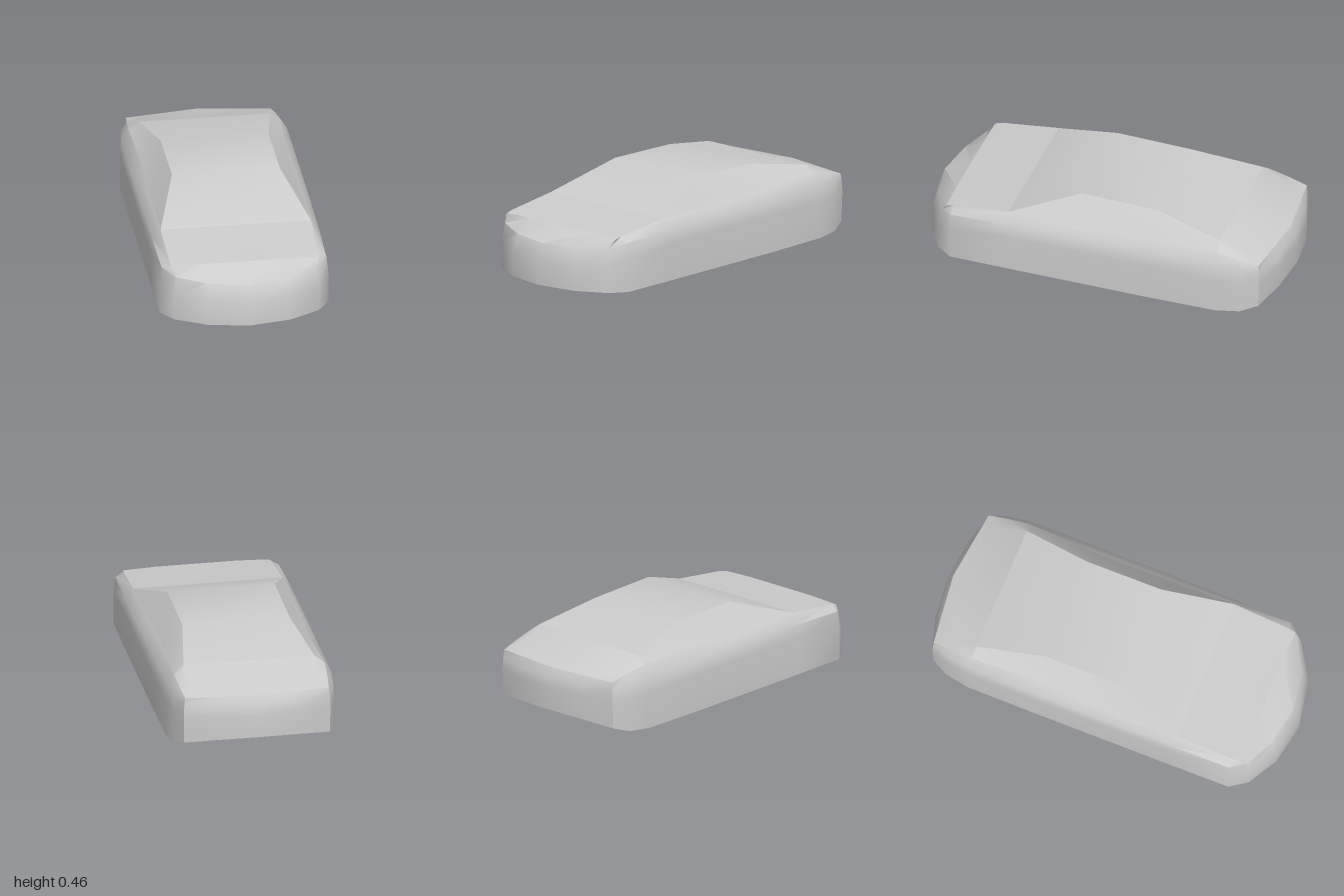
import * as THREE from 'three';
import { toCreasedNormals } from 'three/addons/utils/BufferGeometryUtils.js';

// Half of the plan, from nose centre around the left side to tail centre.
// Each column: sill, waist, shoulder and belt points [x, y, z].
const columns = [
  [[0, 0, 1], [0, 0.13, 1], [0, 0.22, 0.965], [0, 0.29, 0.82]],
  [[0.22, 0, 0.96], [0.22, 0.13, 0.96], [0.22, 0.225, 0.925], [0.22, 0.29, 0.82]],
  [[0.385, 0, 0.87], [0.385, 0.14, 0.87], [0.375, 0.24, 0.855], [0.39, 0.283, 0.82]],
  [[0.448, 0, 0.78], [0.448, 0.18, 0.78], [0.438, 0.265, 0.78], [0.395, 0.293, 0.78]],
  [[0.45, 0, 0.47], [0.45, 0.2, 0.47], [0.443, 0.275, 0.47], [0.4, 0.33, 0.47]],
  [[0.45, 0, 0.1], [0.45, 0.2, 0.1], [0.443, 0.28, 0.1], [0.395, 0.325, 0.1]],
  [[0.45, 0, -0.32], [0.45, 0.2, -0.32], [0.443, 0.28, -0.32], [0.39, 0.335, -0.32]],
  [[0.45, 0.005, -0.7], [0.45, 0.2, -0.7], [0.44, 0.29, -0.7], [0.405, 0.345, -0.7]],
  [[0.43, 0.015, -0.83], [0.432, 0.2, -0.83], [0.425, 0.28, -0.83], [0.395, 0.32, -0.83]],
  [[0.39, 0.045, -0.92], [0.393, 0.2, -0.925], [0.39, 0.26, -0.922], [0.385, 0.3, -0.92]],
  [[0.22, 0.07, -0.975], [0.22, 0.2, -0.978], [0.22, 0.255, -0.972], [0.22, 0.302, -0.94]],
  [[0, 0.08, -1], [0, 0.2, -1], [0, 0.255, -0.992], [0, 0.305, -0.965]],
];

// Top edge of the cabin for columns 3 to 8.
const roofEdge = {
  3: [0.395, 0.293, 0.78],
  4: [0.4, 0.33, 0.47],
  5: [0.287, 0.463, 0.1],
  6: [0.287, 0.455, -0.32],
  7: [0.35, 0.388, -0.69],
  8: [0.335, 0.338, -0.83],
};

const flip = ([x, y, z]) => [-x, y, z];

// Skin over rows of points, leaving out collapsed triangles.
function skin(rows, crease = 0.6) {
  const pos = [];
  const same = (a, b) => a.every((v, k) => Math.abs(v - b[k]) < 1e-6);
  const tri = (a, b, c) => {
    if (!same(a, b) && !same(b, c) && !same(a, c)) pos.push(...a, ...b, ...c);
  };
  for (let i = 0; i < rows.length - 1; i++) {
    for (let j = 0; j < rows[i].length - 1; j++) {
      const a = rows[i][j], b = rows[i][j + 1];
      const c = rows[i + 1][j + 1], d = rows[i + 1][j];
      tri(a, b, c);
      tri(a, c, d);
    }
  }
  const geometry = new THREE.BufferGeometry();
  geometry.setAttribute('position', new THREE.Float32BufferAttribute(pos, 3));
  return toCreasedNormals(geometry, crease);
}

export function createModel() {
  const group = new THREE.Group();
  const material = new THREE.MeshStandardMaterial({ color: 0xcccccc });
  const add = (name, rows, crease) => {
    const mesh = new THREE.Mesh(skin(rows, crease), material);
    mesh.name = name;
    group.add(mesh);
  };

  // Lower body: four closed rings, sill to belt
  const rings = [0, 1, 2, 3].map((level) => {
    const half = columns.map((col) => col[level]);
    return [...half, ...half.slice(0, -1).reverse().map(flip)];
  });
  add('lowerBody', rings, 0.75);

  // Underside
  add('underside', columns.map(([sill]) => [sill, flip(sill)]));

  // Upper rows run from the right belt over the roof to the left belt
  const across = (belt, edge, centre) => [flip(belt), flip(edge), centre, edge, belt];
  const upper = [across(columns[2][3], columns[1][3], columns[0][3])];
  for (let i = 3; i <= 8; i++) {
    const edge = roofEdge[i];
    upper.push(across(columns[i][3], edge, [0, edge[1], edge[2]]));
  }
  upper.push(across(columns[9][3], columns[10][3], columns[11][3]));

  // Hood, cabin shell and rear deck
  add('hood', upper.slice(0, 3));
  add('cabinShell', upper.slice(2, 6).map((row) => row.slice(1, 4)));
  add('rearDeck', upper.slice(5));

  // Side windows with their pillars
  const sides = upper.slice(2, 6);
  add('rightSideWindow', sides.map((row) => row.slice(0, 2)), 0.3);
  add('leftSideWindow', sides.map((row) => row.slice(3, 5)), 0.3);

  return group;
}
